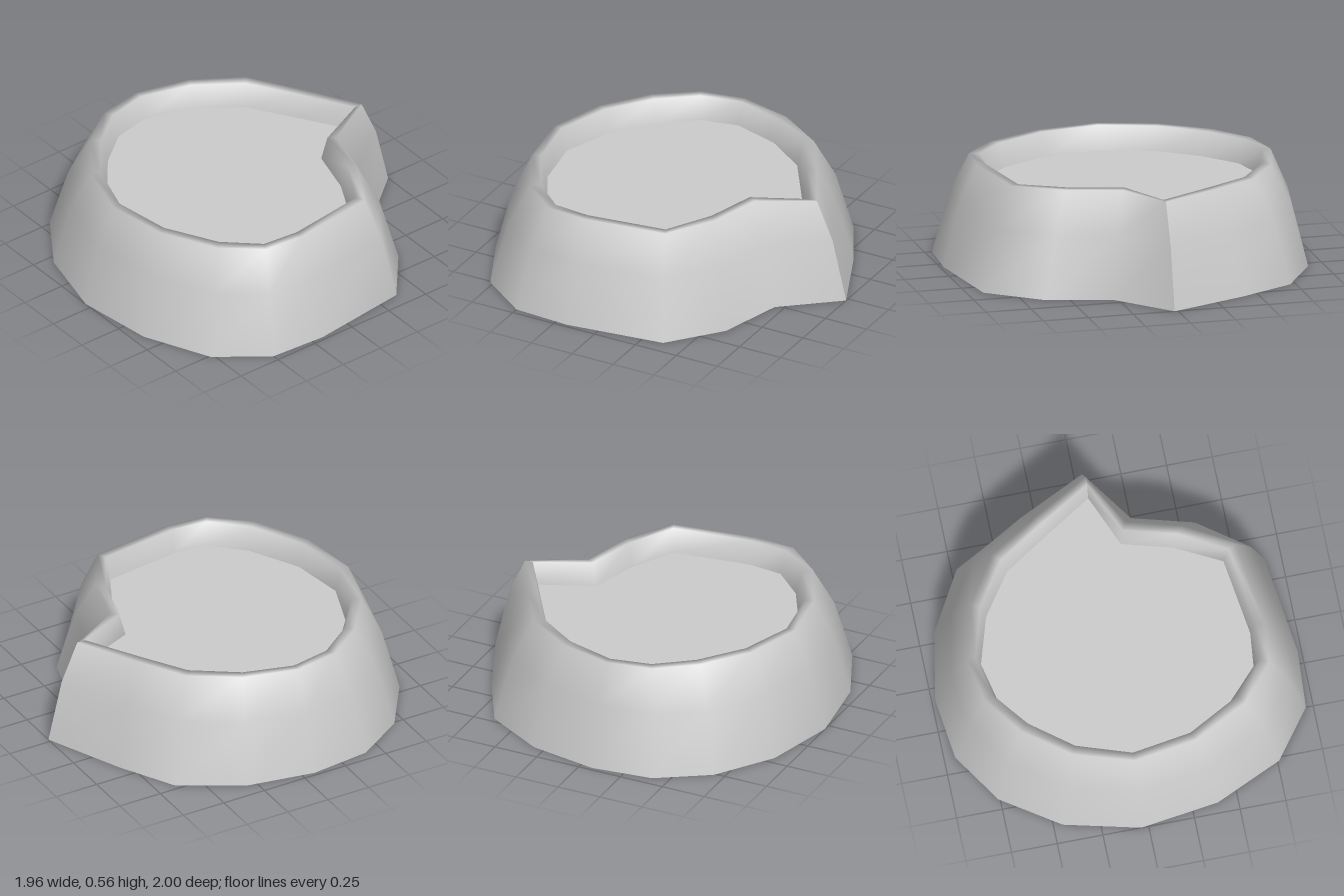
import * as THREE from 'three';

// Outline at the ground, [x, z], starting at the pointed back tip and running toward +x
const BASE = [
  [0.02, -1], [0.27, -0.7], [0.63, -0.6], [0.91, -0.37], [0.98, 0.18], [0.96, 0.5],
  [0.76, 0.77], [0.39, 0.94], [-0.04, 1], [-0.45, 0.9], [-0.76, 0.69], [-0.94, 0.41],
  [-0.98, 0.07], [-0.91, -0.31], [-0.72, -0.64], [-0.41, -0.81],
];
// Matching outline of the recessed floor
const FLOOR = [
  [0.02, -0.745], [0.14, -0.455], [0.41, -0.38], [0.66, -0.25], [0.72, 0.18], [0.7, 0.37],
  [0.54, 0.54], [0.27, 0.69], [-0.04, 0.74], [-0.32, 0.64], [-0.54, 0.465], [-0.685, 0.28],
  [-0.73, 0.07], [-0.65, -0.19], [-0.49, -0.42], [-0.25, -0.575],
];
// Wall section: [blend from base to floor outline, height]
const SECTION = [[0, 0], [0.32, 0.34], [0.7, 0.56], [0.88, 0.56], [1, 0.43]];

// Wall shell; the first column is repeated at the end so the tip stays a sharp crease
function wallGeometry() {
  const n = BASE.length, rows = SECTION.length;
  const positions = [], indices = [];
  for (let i = 0; i <= n; i++) {
    const [bx, bz] = BASE[i % n], [fx, fz] = FLOOR[i % n];
    for (const [t, y] of SECTION) {
      positions.push(THREE.MathUtils.lerp(bx, fx, t), y, THREE.MathUtils.lerp(bz, fz, t));
    }
  }
  for (let i = 0; i < n; i++) {
    for (let j = 0; j < rows - 1; j++) {
      const a = i * rows + j, b = a + 1, c = a + rows, d = c + 1;
      indices.push(a, b, c, b, d, c);
    }
  }
  const geometry = new THREE.BufferGeometry();
  geometry.setAttribute('position', new THREE.Float32BufferAttribute(positions, 3));
  geometry.setIndex(indices);
  geometry.computeVertexNormals();
  return geometry;
}

export function createModel() {
  const group = new THREE.Group();
  group.name = 'notchedDish';
  const material = new THREE.MeshStandardMaterial({ color: 0xcccccc, side: THREE.DoubleSide });

  // Sloping outer wall, rounded rim and short inner wall
  const wall = new THREE.Mesh(wallGeometry(), material);
  wall.name = 'wallAndRim';
  group.add(wall);

  // Flat recessed floor
  const shape = new THREE.Shape(FLOOR.map(([x, z]) => new THREE.Vector2(x, -z)));
  const floor = new THREE.Mesh(new THREE.ShapeGeometry(shape).rotateX(-Math.PI / 2), material);
  floor.name = 'floor';
  floor.position.y = 0.43;
  group.add(floor);

  return group;
}
